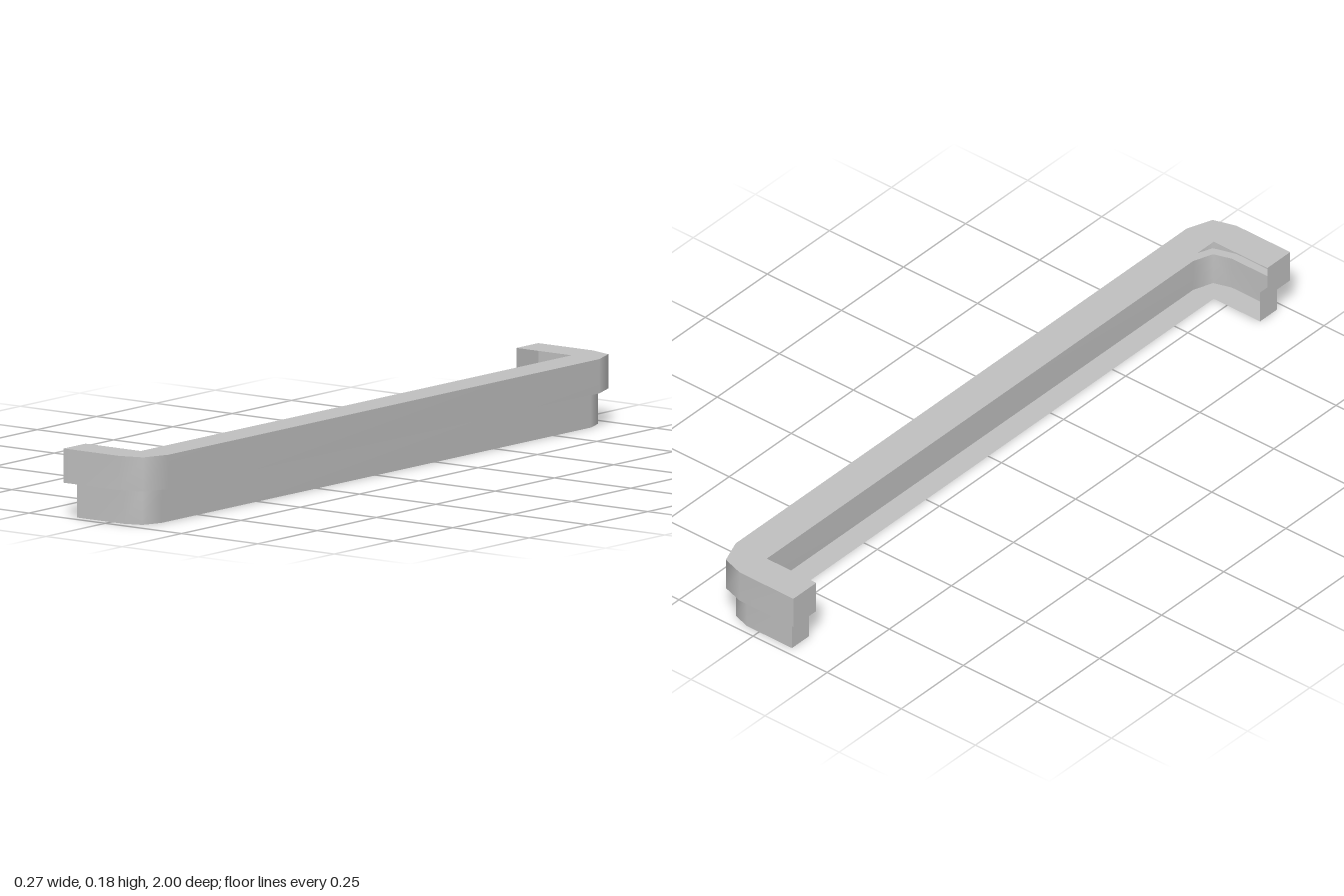
import * as THREE from 'three';

const grey = new THREE.MeshStandardMaterial({ color: 0xc0c0c0, side: THREE.DoubleSide });
grey.name = 'lightGrey';

const STEP = 0.092, TOP = 0.182;   // heights of the step and of the top
const INNER_X = 0.045, INNER_Z = 0.908;

// Mirror the front half of a U-shaped plan outline [x, z] to the back
const mirrored = (half) => [...half, ...half.slice().reverse().map(([x, z]) => [x, -z])];

// Plan outlines: outer edges with faceted corners
const upper = mirrored([[-0.136, 1], [0.045, 1], [0.109, 0.98], [0.136, 0.908]]);
const lower = mirrored([[-0.111, 0.976], [0.041, 0.976], [0.091, 0.96], [0.111, 0.904]]);

// Square inner edge, its corner repeated to pair with the outer points
const innerEdge = (endX) => {
  const corner = [INNER_X, INNER_Z];
  return mirrored([[endX, INNER_Z], corner, corner, corner]);
};

export function createModel() {
  const group = new THREE.Group();
  group.name = 'channelRail';

  const add = (name, geometry) => {
    const mesh = new THREE.Mesh(geometry, grey);
    mesh.name = name;
    group.add(mesh);
    return mesh;
  };

  // Surface strip between two outlines at given heights, smooth along its length
  const strip = (name, a, ya, b, yb) => {
    const positions = [], index = [], n = a.length;
    a.forEach(([x, z]) => positions.push(x, ya, z));
    b.forEach(([x, z]) => positions.push(x, yb, z));
    for (let i = 0; i < n - 1; i++) {
      index.push(i, i + 1, n + i + 1, i, n + i + 1, n + i);
    }
    const geometry = new THREE.BufferGeometry();
    geometry.setAttribute('position', new THREE.Float32BufferAttribute(positions, 3));
    geometry.setIndex(index);
    geometry.computeVertexNormals();
    add(name, geometry);
  };

  // Hollow stepped shell, open on its inner side
  strip('bottomFlange', innerEdge(-0.111), 0, lower, 0);
  strip('lowerWall', lower, 0, lower, STEP);
  strip('stepLedge', lower, STEP, upper, STEP);
  strip('upperWall', upper, STEP, upper, TOP);
  strip('topFlange', upper, TOP, innerEdge(-0.136), TOP);

  // Caps closing the leg ends
  const cap = (name, x, outerZ, y0, y1, side) => {
    const mesh = add(name, new THREE.PlaneGeometry(outerZ - INNER_Z, y1 - y0));
    mesh.rotation.y = -Math.PI / 2;
    mesh.position.set(x, (y0 + y1) / 2, side * (outerZ + INNER_Z) / 2);
  };
  for (const side of [1, -1]) {
    const end = side > 0 ? 'front' : 'back';
    cap(end + 'LowerEndCap', -0.111, 0.976, 0, STEP, side);
    cap(end + 'UpperEndCap', -0.136, 1, STEP, TOP, side);
  }
  return group;
}
